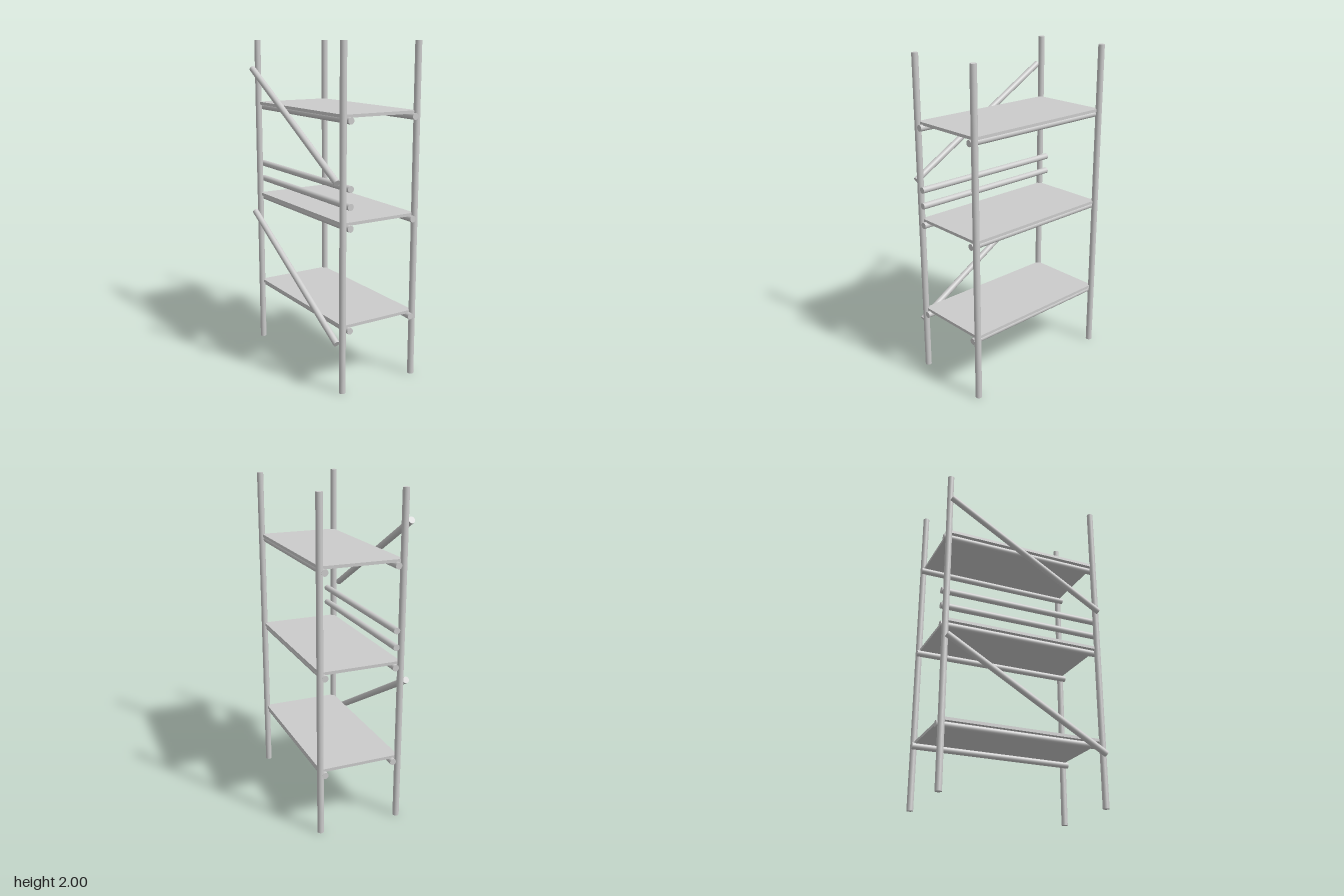
import * as THREE from 'three';

const R = 0.0195;            // tube radius
const LEFT = 0.268, RIGHT = -0.232; // post rows in x

export function createModel() {
  const group = new THREE.Group();
  const material = new THREE.MeshStandardMaterial({ color: 0xcccccc });

  function add(name, geometry, x, y, z) {
    const mesh = new THREE.Mesh(geometry, material);
    mesh.name = name;
    mesh.position.set(x, y, z);
    group.add(mesh);
    return mesh;
  }
  const tube = (length) => new THREE.CylinderGeometry(R, R, length, 24);

  // Four upright posts
  for (const x of [RIGHT, LEFT])
    for (const z of [-0.5, 0.5]) add('post', tube(2), x, 1, z);

  // Tube running front to back
  const rail = (name, x, y) => { add(name, tube(1.04), x, y, 0).rotation.x = Math.PI / 2; };

  // Three decks, each resting on two bearer tubes
  for (const y of [0.402, 1.004, 1.602]) {
    add('deck', new THREE.BoxGeometry(LEFT - RIGHT, 0.018, 1), (LEFT + RIGHT) / 2, y, 0);
    rail('bearer', -0.193, y - 0.024);
    rail('bearer', 0.244, y - 0.024);
  }

  // Guard rails above the middle deck
  for (const y of [1.104, 1.204]) rail('guardRail', -0.193, y);

  // Diagonal braces outside the right-hand posts, rising to the back at 30 degrees
  for (const y of [0.6, 1.532])
    add('diagonalBrace', tube(1.155), -0.271, y, 0).rotation.x = -Math.PI / 3;

  return group;
}
